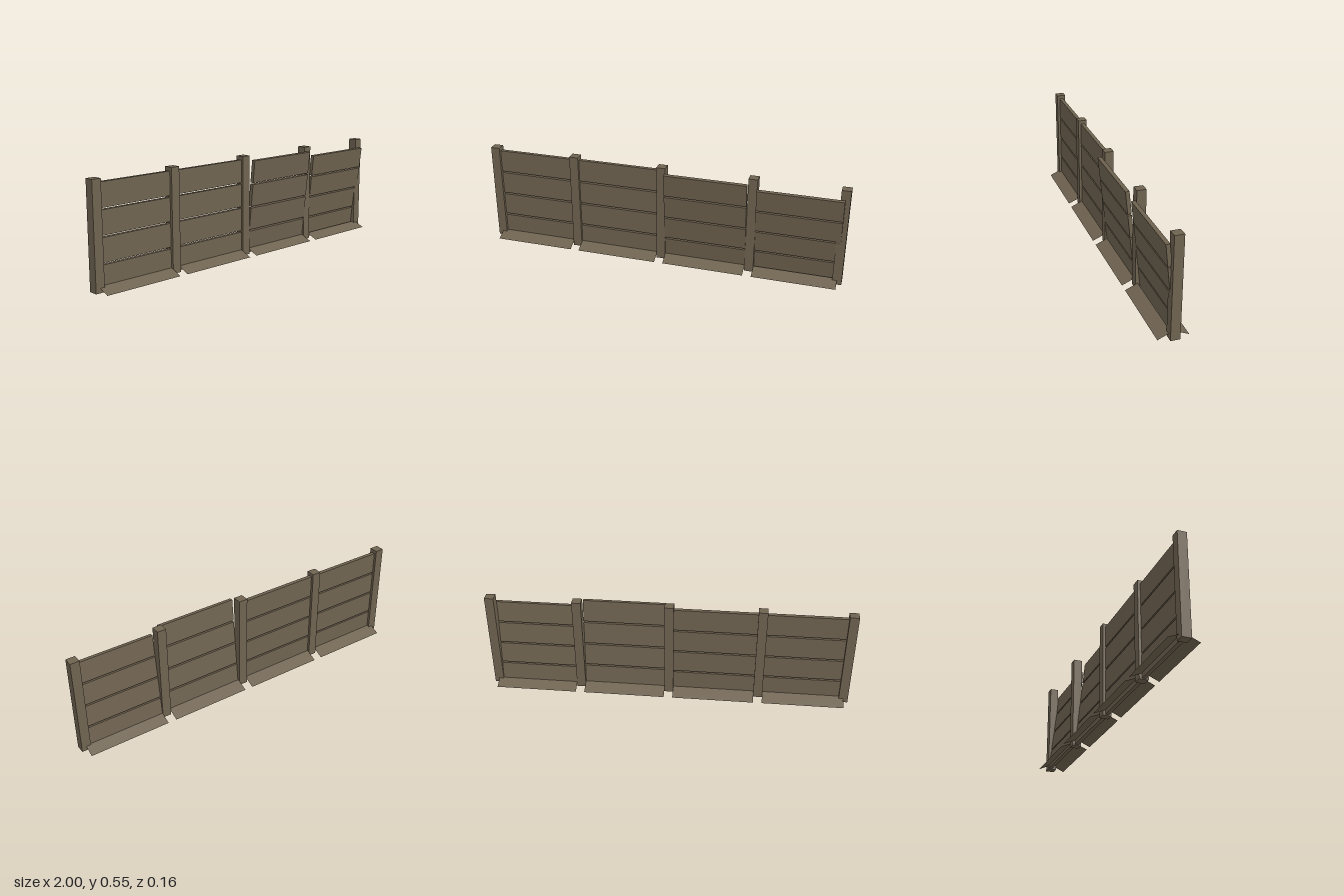
import * as THREE from 'three';

export function createModel() {
  const fence = new THREE.Group();
  fence.name = 'fence';
  const wood = new THREE.MeshStandardMaterial({ color: 0x6f6350, side: THREE.DoubleSide });
  wood.name = 'weathered wood';

  const POST = 0.05, POST_HEIGHT = 0.552;
  const PLANK_HEIGHT = 0.125, PITCH = 0.134, THICK = 0.021;

  const addBox = (parent, name, w, h, d, x, y, z) => {
    const mesh = new THREE.Mesh(new THREE.BoxGeometry(w, h, d), wood);
    mesh.name = name;
    mesh.position.set(x, y, z);
    parent.add(mesh);
  };

  // Square posts
  for (const x of [-0.975, -0.502, -0.002, 0.498, 0.975]) {
    addBox(fence, 'post', POST, POST_HEIGHT, POST, x, POST_HEIGHT / 2, 0);
  }

  // Bays of four planks; the last two lean forward, the final one is shorter
  const bays = [
    { from: -0.975, to: -0.526 },
    { from: -0.478, to: -0.026 },
    { from: 0.022, to: 0.474, lean: 6 },
    { from: 0.522, to: 0.975, lean: 6.3, scale: 0.945, z: -0.012 },
  ];
  for (const { from, to, lean = 0, scale = 1, z = 0 } of bays) {
    const width = to - from, x = (from + to) / 2;

    const panel = new THREE.Group();
    panel.name = 'plankPanel';
    panel.position.set(x, 0.003, z);
    panel.rotation.x = THREE.MathUtils.degToRad(lean);
    for (let i = 0; i < 4; i++) {
      const y = (0.002 + i * PITCH + PLANK_HEIGHT / 2) * scale;
      addBox(panel, 'plank', width, PLANK_HEIGHT * scale, THICK, 0, y, 0);
    }
    fence.add(panel);

    // Sloping sheet along the foot of each side
    for (const side of [1, -1]) {
      const run = 0.068, rise = 0.03;
      const geometry = new THREE.PlaneGeometry(width, Math.hypot(run, rise));
      geometry.rotateX(-Math.atan2(run, rise));
      geometry.translate(0, rise / 2, 0.012 + run / 2);
      if (side < 0) geometry.rotateY(Math.PI);
      const skirt = new THREE.Mesh(geometry, wood);
      skirt.name = side > 0 ? 'frontSkirt' : 'backSkirt';
      skirt.position.x = x;
      fence.add(skirt);
    }
  }
  return fence;
}
